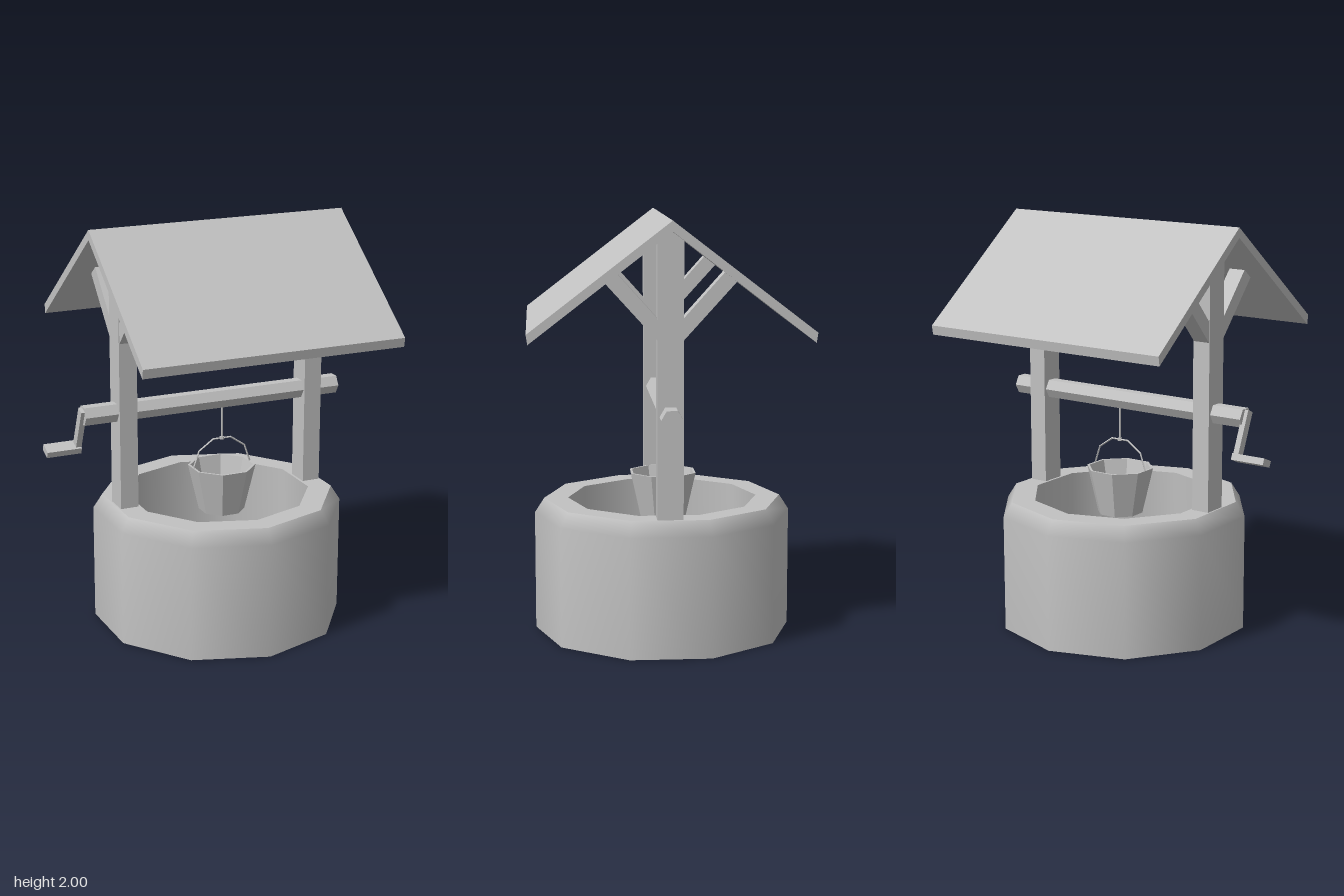
import * as THREE from 'three';

const grey = new THREE.MeshStandardMaterial({ color: 0xc2c2c2, side: THREE.DoubleSide });
grey.name = 'plainGrey';

const CX = 0.1; // centre of the well ring, posts and roof

export function createModel() {
  const model = new THREE.Group();
  model.name = 'waterWell';

  const add = (name, geometry, parent = model, x = 0, y = 0, z = 0) => {
    const mesh = new THREE.Mesh(geometry, grey);
    mesh.name = name;
    mesh.position.set(x, y, z);
    parent.add(mesh);
    return mesh;
  };

  // Hard facets for low-poly round parts
  const faceted = (geometry) => {
    const g = geometry.index ? geometry.toNonIndexed() : geometry;
    g.computeVertexNormals();
    return g;
  };

  const lathe = (points, sides, start = 0) =>
    new THREE.LatheGeometry(points.map(([r, y]) => new THREE.Vector2(r, y)), sides, start);

  // Side profile given as [z, y], extruded along x
  const prism = (profile, x0, x1) => {
    const shape = new THREE.Shape(profile.map(([z, y]) => new THREE.Vector2(-z, y)));
    const g = new THREE.ExtrudeGeometry(shape, { depth: x1 - x0, bevelEnabled: false });
    return g.rotateY(Math.PI / 2).translate(x0, 0, 0);
  };

  // Stone ring: smooth chamfered wall, flat rim, inner shaft and floor
  const ring = new THREE.Group();
  ring.name = 'stoneRing';
  ring.position.x = CX;
  model.add(ring);
  add('outerWall', lathe([[0.615, 0], [0.615, 0.57], [0.57, 0.64]], 10), ring);
  add('rim', lathe([[0.57, 0.64], [0.455, 0.64]], 10), ring);
  add('innerWall', lathe([[0.455, 0.64], [0.475, 0]], 10), ring);
  add('shaftFloor', new THREE.CylinderGeometry(0.475, 0.475, 0.004, 10), ring, 0, 0.002, 0);

  // Posts with gabled tops and a pair of braces each
  for (const side of [-1, 1]) {
    const x = CX + side * 0.49;
    const label = side > 0 ? 'left' : 'right';
    add(label + 'Post', prism(
      [[-0.06, 0.62], [0.06, 0.62], [0.06, 1.905], [0, 1.95], [-0.06, 1.905]],
      x - 0.045, x + 0.045));
    for (const d of [-1, 1]) {
      const profile = [[0.055, 1.455], [0.3, 1.725], [0.245, 1.767], [0.055, 1.555]];
      add(label + (d > 0 ? 'Front' : 'Back') + 'Brace',
        prism(profile.map(([z, y]) => [d * z, y]), x - 0.042, x + 0.042));
    }
  }

  // Gable roof
  add('roof', prism(
    [[0, 2], [-0.645, 1.505], [-0.638, 1.46], [0, 1.952], [0.638, 1.46], [0.645, 1.505]],
    -0.553, 0.758));

  // Hexagonal axle, corners pointing front and back
  add('axle', faceted(new THREE.CylinderGeometry(0.05, 0.05, 1.34, 6).rotateZ(Math.PI / 2)),
    model, 0.07, 1.115, 0);

  // Crank, swung slightly to the back
  const crank = new THREE.Group();
  crank.name = 'crank';
  crank.position.set(0, 1.115, 0);
  crank.rotation.x = 0.4;
  model.add(crank);
  add('crankArm', new THREE.BoxGeometry(0.028, 0.24, 0.042), crank, -0.604, -0.085, 0);
  add('crankHandle', new THREE.BoxGeometry(0.173, 0.032, 0.065), crank, -0.678, -0.192, 0);

  // Rope, bucket and bail
  const hanging = new THREE.Group();
  hanging.name = 'hangingBucket';
  hanging.position.x = 0.124;
  model.add(hanging);
  add('rope', new THREE.CylinderGeometry(0.005, 0.005, 0.2, 6), hanging, 0, 1.005, 0);
  add('ropeKnot', faceted(new THREE.CylinderGeometry(0.011, 0.011, 0.014, 6)), hanging, 0, 0.908, 0);
  add('bucket', faceted(lathe(
    [[0, 0.54], [0.113, 0.54], [0.167, 0.77], [0.155, 0.77], [0.104, 0.555], [0, 0.555]],
    8, Math.PI / 8)), hanging);
  const bail = add('bail', faceted(new THREE.TorusGeometry(0.152, 0.005, 4, 5, Math.PI)),
    hanging, 0, 0.77, 0);
  bail.scale.y = 0.95;

  return model;
}
